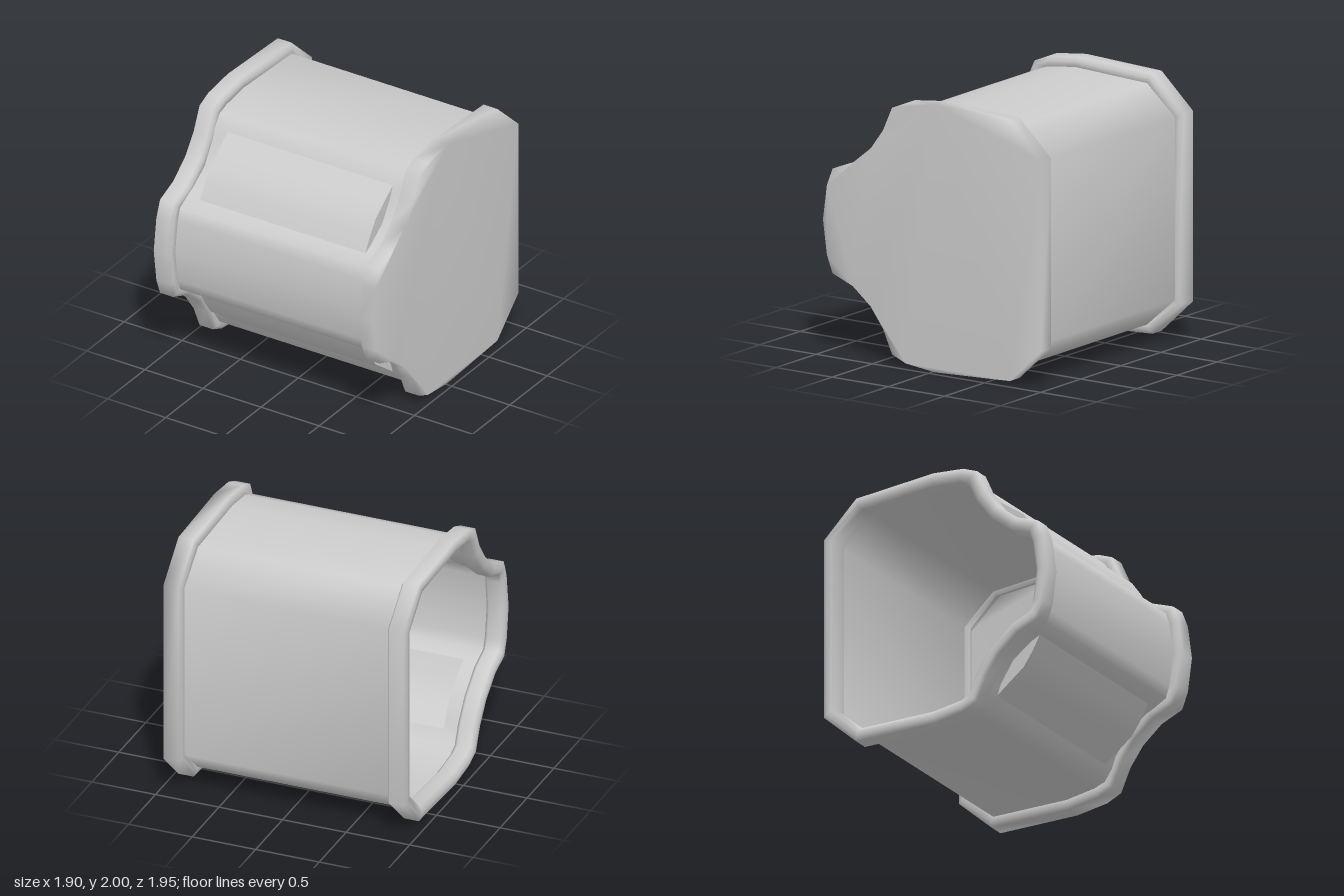
import * as THREE from 'three';

const material = new THREE.MeshStandardMaterial({ color: 0xcccccc, side: THREE.DoubleSide });

// Half profiles as [z, height above the middle], from the back over the top to the front
const rimHalf = [[-0.97, 0.71], [-0.69, 0.97], [-0.02, 1], [0.24, 0.97], [0.36, 0.92], [0.44, 0.74],
  [0.55, 0.59], [0.71, 0.46], [0.89, 0.39], [0.94, 0.26], [0.975, 0]];
const shellHalf = [[-0.91, 0.68], [-0.66, 0.9], [-0.02, 0.93], [0.22, 0.9], [0.31, 0.87], [0.37, 0.78],
  [0.4, 0.7], [0.51, 0.53], [0.67, 0.42], [0.74, 0.39], [0.84, 0.34], [0.87, 0.25], [0.905, 0]];
const panelArc = [[0.37, 0.78], [0.485, 0.695], [0.6, 0.61], [0.675, 0.505], [0.74, 0.39]];
const HOLE_START = 5, HOLE_END = 9; // shell points between which the panels sit
const PANEL_X = [-0.69, 0.73];

const flip = (points) => points.map(([z, h]) => [z, -h]).reverse();
const fullLoop = (half) => [...half, ...flip(half).slice(1)];
const ring = (x, points) => points.map(([z, h]) => [x, h + 1, z]);

// Moves a closed profile inward by d with mitred corners
function inset(points, d) {
  const n = points.length;
  const normal = (a, b) => new THREE.Vector2(b[1] - a[1], a[0] - b[0]).normalize();
  return points.map((p, i) => {
    const n1 = normal(points[(i + n - 1) % n], p);
    const n2 = normal(p, points[(i + 1) % n]);
    const m = n1.clone().add(n2).multiplyScalar(d / (1 + n1.dot(n2)));
    return [p[0] + m.x, p[1] + m.y];
  });
}

// Skins a row of cross-sections; skip(i, j) leaves an opening, capped closes the last ring
function loft(name, rings, { closedRing = false, closedRow = false, skip = () => false, capped = false } = {}) {
  const rows = rings.length, n = rings[0].length, index = [];
  const id = (i, j) => (i % rows) * n + (j % n);
  for (let i = 0; i < rows - (closedRow ? 0 : 1); i++) {
    for (let j = 0; j < n - (closedRing ? 0 : 1); j++) {
      if (skip(i, j)) continue;
      const a = id(i, j), b = id(i, j + 1), c = id(i + 1, j), d = id(i + 1, j + 1);
      index.push(a, b, c, b, d, c);
    }
  }
  if (capped) {
    const contour = rings[rows - 1].map(([, y, z]) => new THREE.Vector2(-z, y));
    for (const face of THREE.ShapeUtils.triangulateShape(contour, [])) {
      index.push(...face.map((k) => id(rows - 1, k)));
    }
  }
  const geometry = new THREE.BufferGeometry();
  geometry.setAttribute('position', new THREE.Float32BufferAttribute(rings.flat(2), 3));
  geometry.setIndex(index);
  geometry.computeVertexNormals();
  const mesh = new THREE.Mesh(geometry, material);
  mesh.name = name;
  return mesh;
}

// Bulging panel with end walls that run back to the shell
function createPanel(name, lower) {
  const orient = (points) => (lower ? flip(points) : points);
  const arc = orient(panelArc);
  const edge = orient(shellHalf.slice(HOLE_START, HOLE_END + 1));
  const group = new THREE.Group();
  group.name = name;
  group.add(
    loft('panelFace', PANEL_X.map((x) => ring(x, arc))),
    loft('panelRightWall', [ring(PANEL_X[0], edge), ring(PANEL_X[0], arc)]),
    loft('panelLeftWall', [ring(PANEL_X[1], arc), ring(PANEL_X[1], edge)]),
  );
  return group;
}

export function createModel() {
  const model = new THREE.Group();
  const rim = fullLoop(rimHalf);
  const shell = fullLoop(shellHalf);
  const rimRing = ([x, d]) => ring(x, inset(rim, d));

  // Shell with two openings for the panels
  const last = shell.length - 1;
  const inHole = (j) => j >= HOLE_START && j < HOLE_END;
  model.add(loft('shell', [-0.86, ...PANEL_X, 0.9].map((x) => ring(x, shell)), {
    closedRing: true,
    skip: (i, j) => i === 1 && (inHole(j) || inHole(last - 1 - j)),
  }));
  model.add(createPanel('upperPanel', false), createPanel('lowerPanel', true));

  // Open end: a rounded tube around the mouth
  const tube = [[-0.8, 0.07], [-0.805, 0.03], [-0.825, 0], [-0.94, 0], [-0.955, 0.03], [-0.955, 0.07],
    [-0.93, 0.1], [-0.83, 0.1]].reverse();
  model.add(loft('openRim', tube.map(rimRing), { closedRing: true, closedRow: true }));

  // Closed end: a rim running into a flat end plate
  const lip = [[0.83, 0.1], [0.81, 0.07], [0.815, 0.03], [0.83, 0], [0.95, 0]];
  model.add(loft('endCap', lip.map(rimRing), { closedRing: true, capped: true }));

  return model;
}
